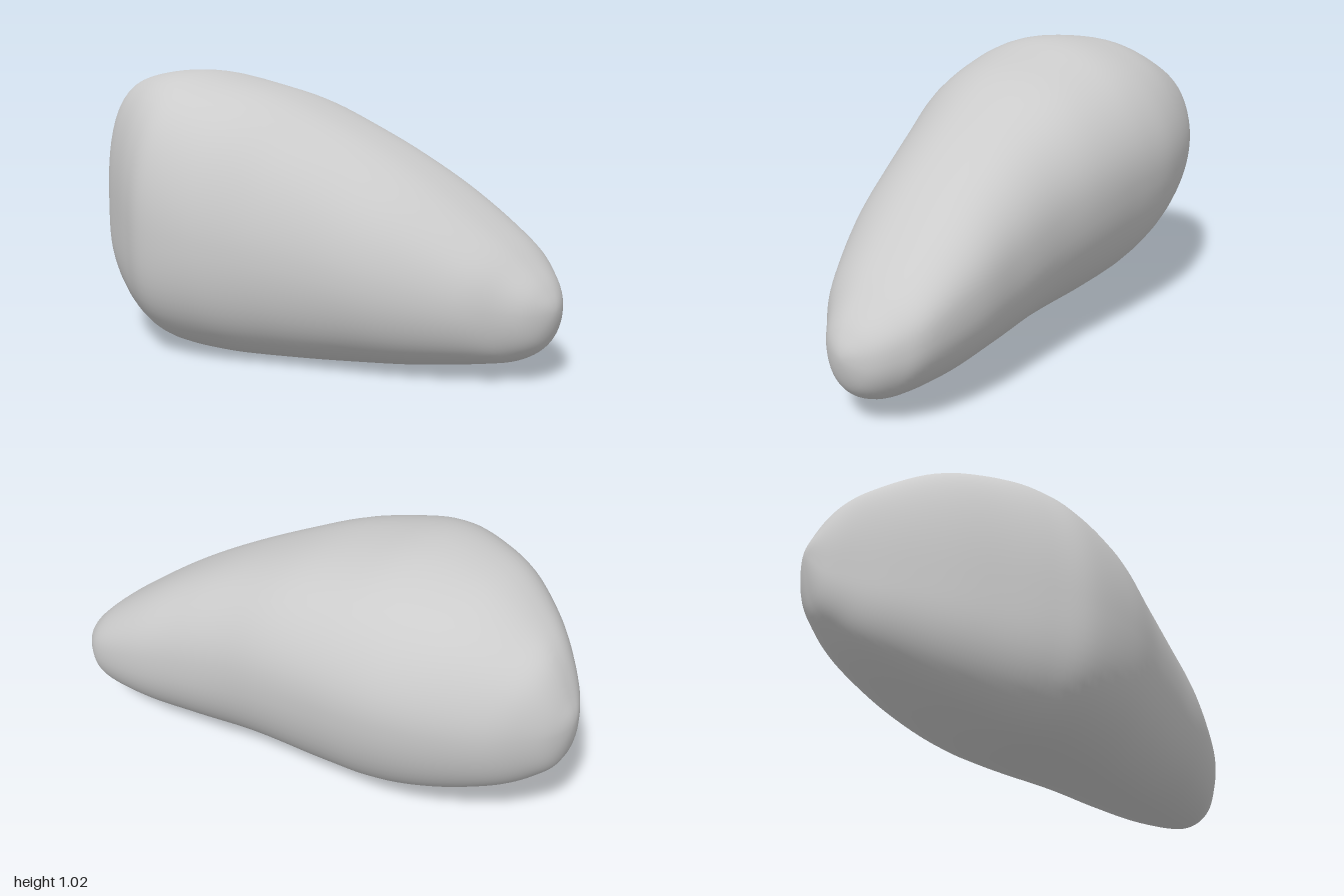
import * as THREE from 'three';
import { mergeVertices } from 'three/addons/utils/BufferGeometryUtils.js';

// Cross-sections along x: x, yMin, yMax, zMin, zMax,
// then y of the front and back extremes, z of the top and bottom extremes
const SECTIONS = [
  [-1.00, 0.62, 0.62, -0.05, -0.05, 0.62, 0.62, -0.05, -0.05],
  [-0.97, 0.45, 0.72, -0.14, 0.04, 0.56, 0.61, -0.05, -0.04],
  [-0.90, 0.35, 0.84, -0.22, 0.12, 0.52, 0.61, -0.04, -0.01],
  [-0.80, 0.26, 0.915, -0.30, 0.22, 0.49, 0.60, 0.00, 0.03],
  [-0.65, 0.165, 0.99, -0.38, 0.33, 0.47, 0.60, 0.04, 0.08],
  [-0.50, 0.09, 1.02, -0.435, 0.41, 0.45, 0.60, 0.06, 0.12],
  [-0.35, 0.035, 1.025, -0.465, 0.475, 0.44, 0.59, 0.06, 0.14],
  [-0.20, 0.012, 1.00, -0.48, 0.515, 0.42, 0.58, 0.04, 0.14],
  [0.00, 0.003, 0.95, -0.488, 0.475, 0.41, 0.54, 0.00, 0.11],
  [0.20, 0.008, 0.87, -0.49, 0.37, 0.39, 0.48, -0.06, 0.04],
  [0.40, 0.015, 0.77, -0.505, 0.26, 0.36, 0.42, -0.13, -0.05],
  [0.60, 0.03, 0.65, -0.523, 0.15, 0.32, 0.37, -0.19, -0.14],
  [0.80, 0.055, 0.50, -0.51, 0.00, 0.28, 0.32, -0.25, -0.23],
  [0.90, 0.08, 0.41, -0.46, -0.11, 0.26, 0.28, -0.28, -0.27],
  [0.97, 0.14, 0.33, -0.39, -0.20, 0.25, 0.25, -0.295, -0.29],
  [1.00, 0.25, 0.25, -0.30, -0.30, 0.25, 0.25, -0.30, -0.30],
];

// Mirrored section beyond a tip, so the surface closes round
const beyond = ([x, y0, y1, z0, z1, ...mid]) => [x, y1, y0, z1, z0, ...mid];

const spline = (a, b, c, d, t) =>
  b + 0.5 * t * (c - a + t * (2 * a - 5 * b + 4 * c - d + t * (3 * (b - c) + d - a)));

// Squareness at the blunt and narrow ends: front top, back top, back bottom, front bottom
const SQUARENESS = [[2.9, 2.1], [2.0, 2.4], [2.1, 1.95], [2.8, 2.15]];

function buildRock() {
  const last = SECTIONS.length - 1;
  const rows = [beyond(SECTIONS[1]), ...SECTIONS, beyond(SECTIONS[last - 1])];
  const steps = 6, sides = 72, rings = last * steps;
  const pos = [], index = [];
  for (let i = 0; i <= rings; i++) {
    const k = Math.min(Math.floor(i / steps), last - 1), t = i / steps - k;
    const [x, y0, y1, z0, z1, yFront, yBack, zTop, zBottom] = rows[0].map((_, c) =>
      spline(rows[k][c], rows[k + 1][c], rows[k + 2][c], rows[k + 3][c], t));
    const blend = THREE.MathUtils.smoothstep(x, -0.7, 0.25);
    for (let j = 0; j < sides; j++) {
      // Four slightly squared quarter-ellipses joining the extremes
      const a = (j / sides) * Math.PI * 2, c = Math.cos(a), s = Math.sin(a);
      const n = THREE.MathUtils.lerp(...SQUARENESS[Math.floor(4 * j / sides)], blend);
      const r = (Math.abs(c) ** n + Math.abs(s) ** n) ** (-1 / n);
      const yc = c > 0 ? yFront : yBack, zc = s > 0 ? zTop : zBottom;
      // Faint worn unevenness
      const bump = 1 + 0.003 * Math.sin(9 * x + 5 * a) * Math.sin(7 * x - 4 * a + 1);
      const z = zc + c * r * bump * (c > 0 ? z1 - zc : zc - z0);
      const y = yc + s * r * bump * (s > 0 ? y1 - yc : yc - y0);
      pos.push(x, Math.max(y, 0), z);
      if (i < rings) {
        const p = i * sides + j, q = i * sides + (j + 1) % sides;
        index.push(p, p + sides, q, q, p + sides, q + sides);
      }
    }
  }
  let geo = new THREE.BufferGeometry();
  geo.setAttribute('position', new THREE.Float32BufferAttribute(pos, 3));
  geo.setIndex(index);
  geo = mergeVertices(geo, 1e-5); // welds each tip to one point
  geo.computeVertexNormals();
  return geo;
}

export function createModel() {
  const group = new THREE.Group();
  group.name = 'asteroid';
  const rock = new THREE.Mesh(buildRock(), new THREE.MeshStandardMaterial({ color: 0xcccccc }));
  rock.name = 'rockBody';
  group.add(rock);
  return group;
}
